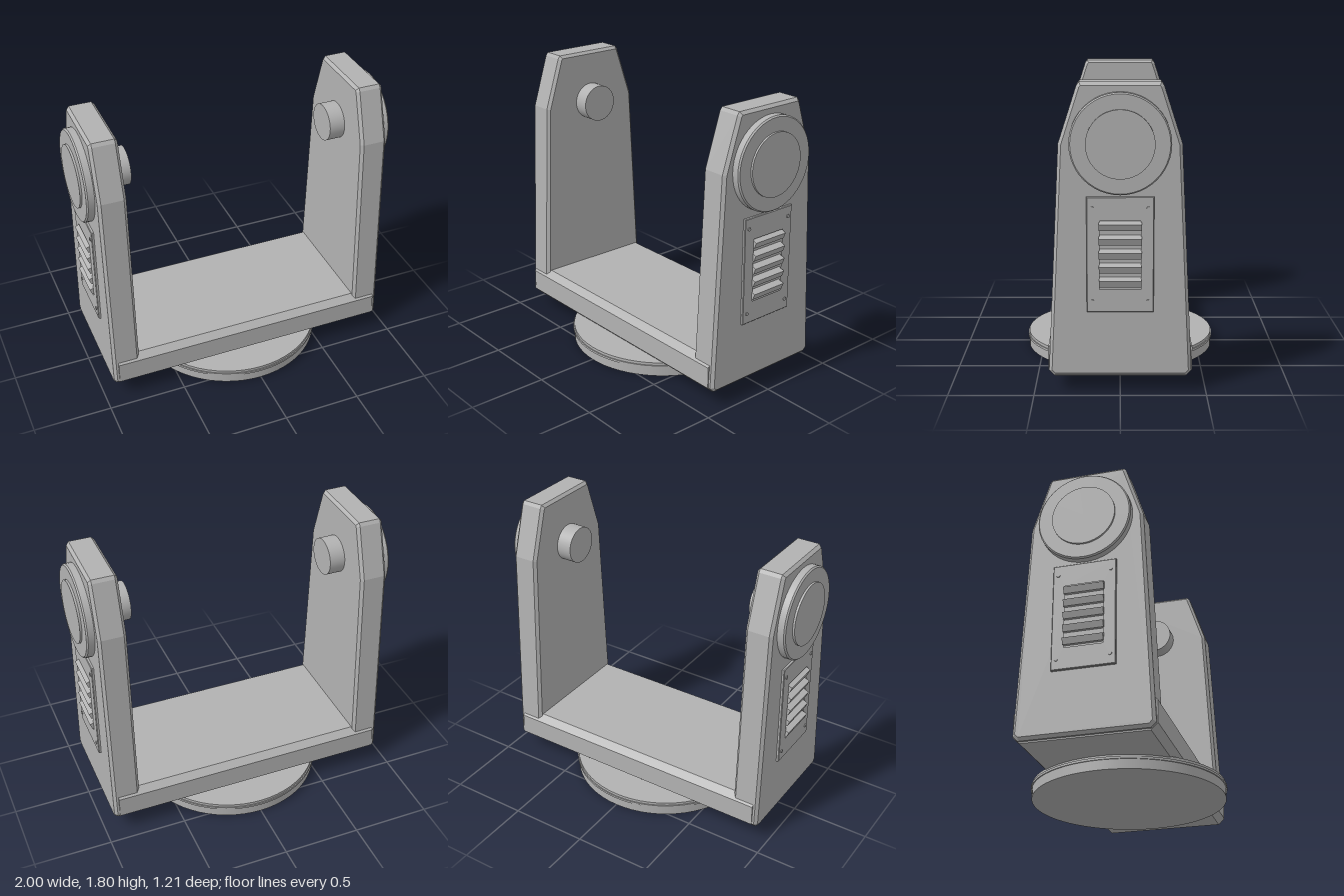
import * as THREE from 'three';

const metal = new THREE.MeshStandardMaterial({ color: 0xb2b2b2 });
metal.name = 'grey metal';

function add(parent, geometry, name) {
  const mesh = new THREE.Mesh(geometry, metal);
  mesh.name = name;
  parent.add(mesh);
  return mesh;
}

// Extrudes a [z, y] outline along x, from x0 to x1, with an optional chamfer inside the outline
function slab(outline, x0, x1, chamfer = 0, hole = null) {
  const toPoints = (list) => list.map(([a, b]) => new THREE.Vector2(-a, b));
  const shape = new THREE.Shape(toPoints(outline));
  if (hole) shape.holes.push(new THREE.Path(toPoints(hole)));
  const geometry = new THREE.ExtrudeGeometry(shape, {
    depth: x1 - x0 - 2 * chamfer,
    bevelEnabled: chamfer > 0,
    bevelThickness: chamfer,
    bevelSize: chamfer,
    bevelOffset: -chamfer,
    bevelSegments: 1,
  });
  return geometry.rotateY(Math.PI / 2).translate(x0 + chamfer, 0, 0);
}

const rect = (w, y0, y1) => [[-w, y0], [w, y0], [w, y1], [-w, y1]];

// Cylinder lying along x
function disc(r, x0, x1, y, z = 0, rOuter = r, sides = 48) {
  return new THREE.CylinderGeometry(rOuter, r, x1 - x0, sides)
    .rotateZ(-Math.PI / 2).translate((x0 + x1) / 2, y, z);
}

function createArm(name) {
  const arm = new THREE.Group();
  arm.name = name;

  // Tapered upright plate
  const outline = [
    [-0.385, 0.095], [0.385, 0.095], [0.415, 0.125], [0.35, 1.46],
    [0.245, 1.785], [0.23, 1.805], [-0.23, 1.805], [-0.245, 1.785], [-0.35, 1.46], [-0.415, 0.125],
  ];
  add(arm, slab(outline, 0.762, 0.937, 0.018), 'armPlate');

  // Pivot: outer cover, cap and inner pin
  const pivotY = 1.465;
  add(arm, disc(0.288, 0.93, 0.978, pivotY), 'pivotCover');
  add(arm, disc(0.288, 0.978, 0.987, pivotY, 0, 0.28), 'pivotCoverRim');
  add(arm, disc(0.195, 0.98, 1.0, pivotY), 'pivotCap');
  add(arm, disc(0.12, 0.66, 0.78, pivotY), 'pivotPin');

  // Vent frame with louvres and corner screws
  add(arm, slab(rect(0.192, 0.488, 1.162), 0.93, 0.953, 0.004, rect(0.122, 0.62, 1.028)), 'ventFrame');
  for (let i = 0; i < 5; i++) {
    const y = 1.003 - i * 0.0825;
    const slat = new THREE.Shape([
      new THREE.Vector2(0.93, y + 0.022), new THREE.Vector2(0.93, y - 0.03),
      new THREE.Vector2(0.962, y - 0.035), new THREE.Vector2(0.977, y + 0.003),
    ]);
    add(arm, new THREE.ExtrudeGeometry(slat, { depth: 0.244, bevelEnabled: false })
      .translate(0, 0, -0.122), 'ventLouvre');
  }
  for (const z of [-0.16, 0.16]) {
    for (const y of [0.553, 1.097]) add(arm, disc(0.011, 0.945, 0.959, y, z, 0.011, 12), 'ventScrew');
  }
  return arm;
}

export function createModel() {
  const model = new THREE.Group();
  model.name = 'yokeBracket';

  // Cross beam with chamfered long edges
  const beam = [
    [-0.38, 0.086], [0.38, 0.086], [0.42, 0.125], [0.42, 0.262],
    [0.378, 0.302], [-0.378, 0.302], [-0.42, 0.262], [-0.42, 0.125],
  ];
  add(model, slab(beam, -0.905, 0.905), 'crossBeam');

  // Round foot with a thin raised band
  const turntable = new THREE.Group();
  turntable.name = 'turntable';
  add(turntable, new THREE.CylinderGeometry(0.6, 0.6, 0.092, 64).translate(0, 0.046, 0), 'footDisc');
  add(turntable, new THREE.CylinderGeometry(0.607, 0.607, 0.014, 64).translate(0, 0.067, 0), 'footBand');
  model.add(turntable);

  // Matching arms, the right one turned half way round
  model.add(createArm('leftArm'));
  const right = createArm('rightArm');
  right.rotation.y = Math.PI;
  model.add(right);
  return model;
}
